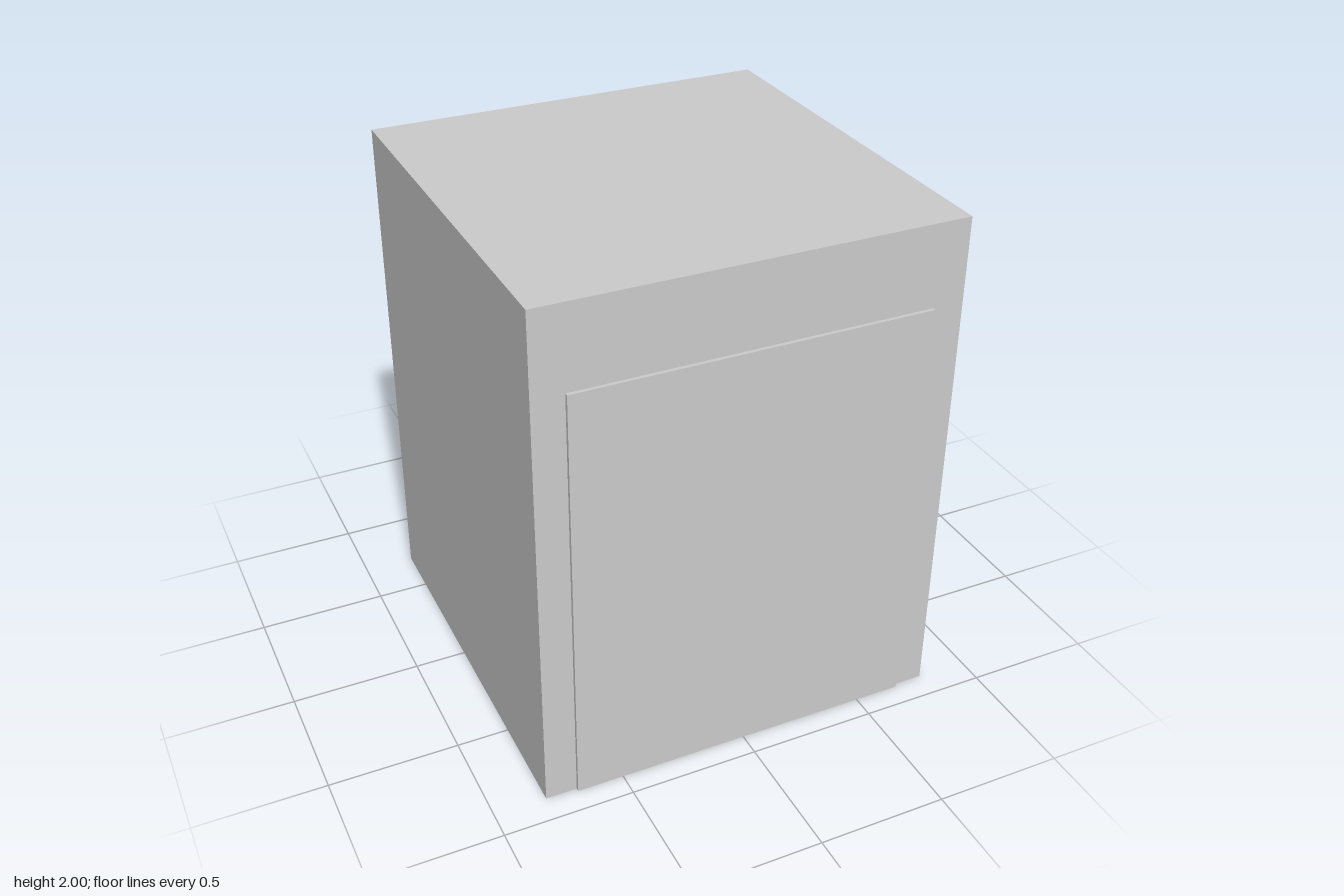
import * as THREE from 'three';

const material = new THREE.MeshStandardMaterial({ color: 0xcccccc, flatShading: true });

// Box given by its minimum and maximum corners
function block(name, [x0, y0, z0], [x1, y1, z1]) {
  const mesh = new THREE.Mesh(new THREE.BoxGeometry(x1 - x0, y1 - y0, z1 - z0), material);
  mesh.position.set((x0 + x1) / 2, (y0 + y1) / 2, (z0 + z1) / 2);
  mesh.name = name;
  return mesh;
}

export function createModel() {
  const model = new THREE.Group();
  model.name = 'cabinet';
  const back = -0.704, front = 0.896;

  model.add(
    // Main cabinet
    block('body', [-0.8, 0, back], [0.8, 2, front]),
    // Thin door panel on the front, reaching the ground
    block('frontPanel', [-0.68, 0, front], [0.68, 1.68, 0.91]),
    // Raised housing on the back
    block('rearHousing', [-0.335, 0.37, -0.91], [0.335, 1.44, back])
  );
  return model;
}
